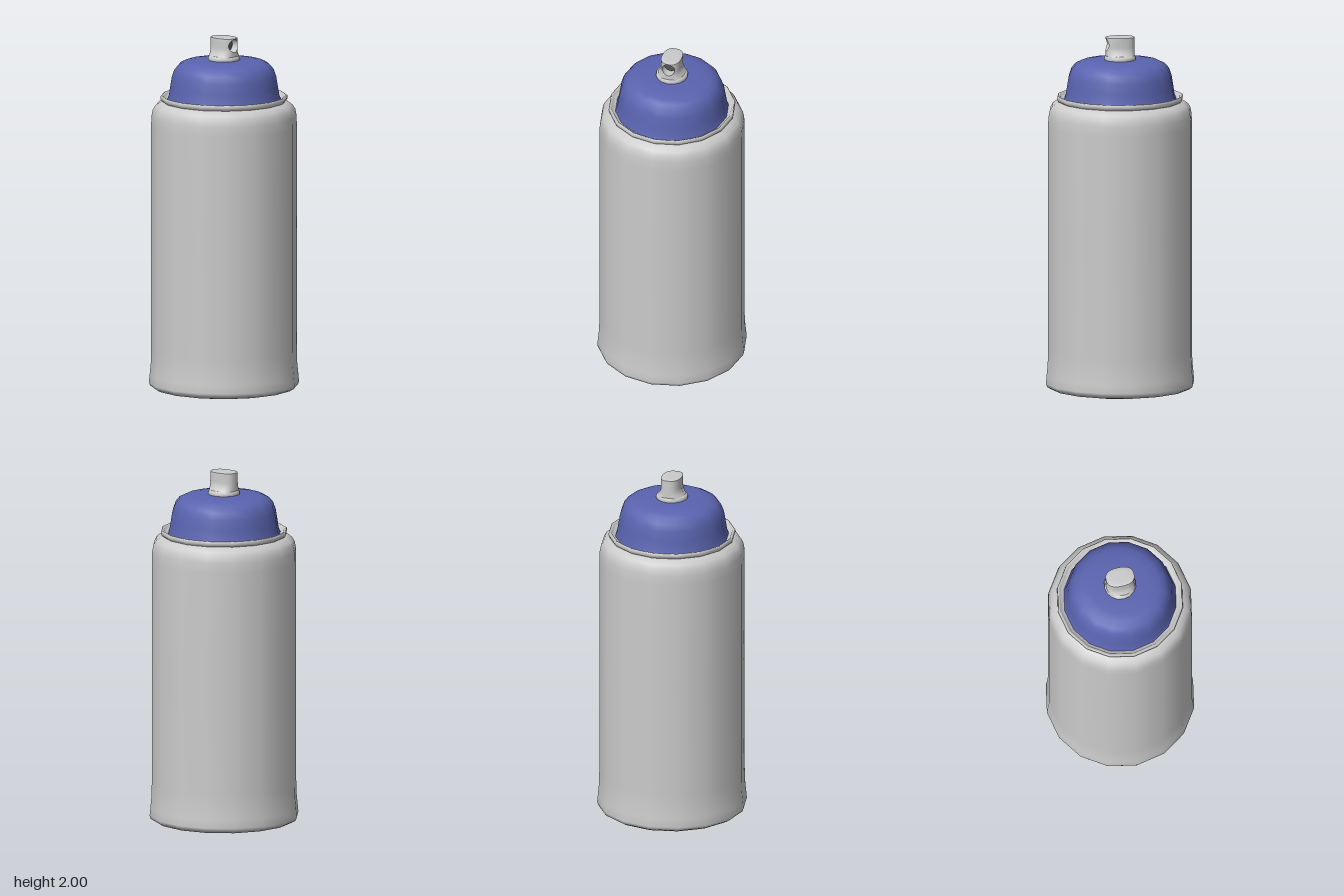
import * as THREE from 'three';
import { ParametricGeometry } from 'three/addons/geometries/ParametricGeometry.js';

const SIDES = 16;
const grey = new THREE.MeshStandardMaterial({ color: 0xcccccc });
const blue = new THREE.MeshStandardMaterial({ color: 0x5a64b0 });
const dark = new THREE.MeshStandardMaterial({ color: 0x555555 });

function part(name, geometry, material) {
  const mesh = new THREE.Mesh(geometry, material);
  mesh.name = name;
  return mesh;
}

function turned(name, profile, material, sides = SIDES) {
  const points = profile.map(([r, y]) => new THREE.Vector2(r, y));
  return part(name, new THREE.LatheGeometry(points, sides), material);
}

function surface(name, fn, slices, stacks) {
  const geometry = new ParametricGeometry(fn, slices, stacks);
  geometry.computeVertexNormals();
  return part(name, geometry, grey);
}

// Nozzle stem: oval section that flares sideways towards its foot
const LENGTH = 0.08, POWER = 0.8;
const BOTTOM = 1.885, TOP = 1.996;
const HOLE_Y = 1.956, HOLE_R = 0.036;
const halfWidth = (y) => 0.056 + 0.026 * Math.max(0, (1.94 - y) / 0.055) ** 2;
const bulge = (t) => Math.sign(t) * Math.abs(t) ** POWER;

function onStem(theta, y, target, scale = 1) {
  return target.set(
    LENGTH * scale * bulge(Math.cos(theta)),
    y,
    -halfWidth(y) * scale * bulge(Math.sin(theta))
  );
}

// Angle and height of a point on the rim of the spray hole
function rim(a) {
  const y = HOLE_Y + HOLE_R * Math.sin(a);
  const s = HOLE_R * Math.cos(a) / halfWidth(y);
  return [Math.asin(Math.sign(s) * Math.abs(s) ** (1 / POWER)), y];
}

function createNozzle() {
  const nozzle = new THREE.Group();
  nozzle.name = 'nozzle';

  nozzle.add(turned('nozzleBase', [
    [0.086, 1.86], [0.089, 1.875], [0.088, 1.885], [0.083, 1.893], [0.07, 1.896], [0, 1.896]
  ], grey));

  // Rear half of the stem
  nozzle.add(surface('stemBack', (u, v, p) =>
    onStem(Math.PI * (0.5 + u), BOTTOM + (TOP - BOTTOM) * v, p), 16, 10));

  // Half with the spray hole: blends from the round rim to the outline
  nozzle.add(surface('stemFront', (u, v, p) => {
    const a = -2 * Math.PI * u;
    const c = Math.cos(a), s = Math.sin(a);
    const m = Math.max(Math.abs(c), Math.abs(s));
    const edgeY = HOLE_Y + (s > 0 ? TOP - HOLE_Y : HOLE_Y - BOTTOM) * s / m;
    const [theta, y] = rim(a);
    onStem(
      THREE.MathUtils.lerp(theta, c / m * Math.PI / 2, v),
      THREE.MathUtils.lerp(y, edgeY, v), p);
  }, 40, 6));

  // Wall and floor of the spray hole
  const floorX = 0.03;
  nozzle.add(surface('sprayHoleWall', (u, v, p) => {
    const [theta, y] = rim(-2 * Math.PI * u);
    onStem(theta, y, p);
    p.x = THREE.MathUtils.lerp(floorX, p.x, v);
  }, 40, 1));
  const floor = part('sprayHoleFloor', new THREE.CircleGeometry(HOLE_R, 40), dark);
  floor.rotation.y = Math.PI / 2;
  floor.position.set(floorX, HOLE_Y, 0);
  nozzle.add(floor);

  // Softly rounded finger pad
  nozzle.add(surface('fingerPad', (u, v, p) =>
    onStem(2 * Math.PI * u, TOP + 0.004 * (1 - (1 - v) ** 6), p, 1 - v), 32, 8));
  return nozzle;
}

export function createModel() {
  const model = new THREE.Group();
  model.name = 'sprayCan';

  // Can with a slightly domed underside, flared foot and rounded shoulder
  model.add(turned('canBody', [
    [0, 0], [0.2, 0.005], [0.33, 0.013], [0.39, 0.024], [0.411, 0.037], [0.417, 0.055],
    [0.413, 0.1], [0.407, 0.16], [0.405, 0.24], [0.405, 0.9], [0.405, 1.5],
    [0.403, 1.555], [0.396, 1.59], [0.382, 1.614], [0.36, 1.63], [0.342, 1.638]
  ], grey));

  // Rolled collar with the groove that holds the cap
  model.add(turned('collar', [
    [0.34, 1.634], [0.35, 1.643], [0.354, 1.655], [0.352, 1.667], [0.346, 1.67],
    [0.337, 1.664], [0.33, 1.65], [0.31, 1.645]
  ], grey));

  // Domed cap
  model.add(turned('cap', [
    [0.318, 1.642], [0.307, 1.67], [0.299, 1.72], [0.29, 1.775], [0.276, 1.815],
    [0.253, 1.843], [0.22, 1.859], [0.17, 1.867], [0.09, 1.87], [0, 1.87]
  ], blue));

  model.add(createNozzle());
  return model;
}
